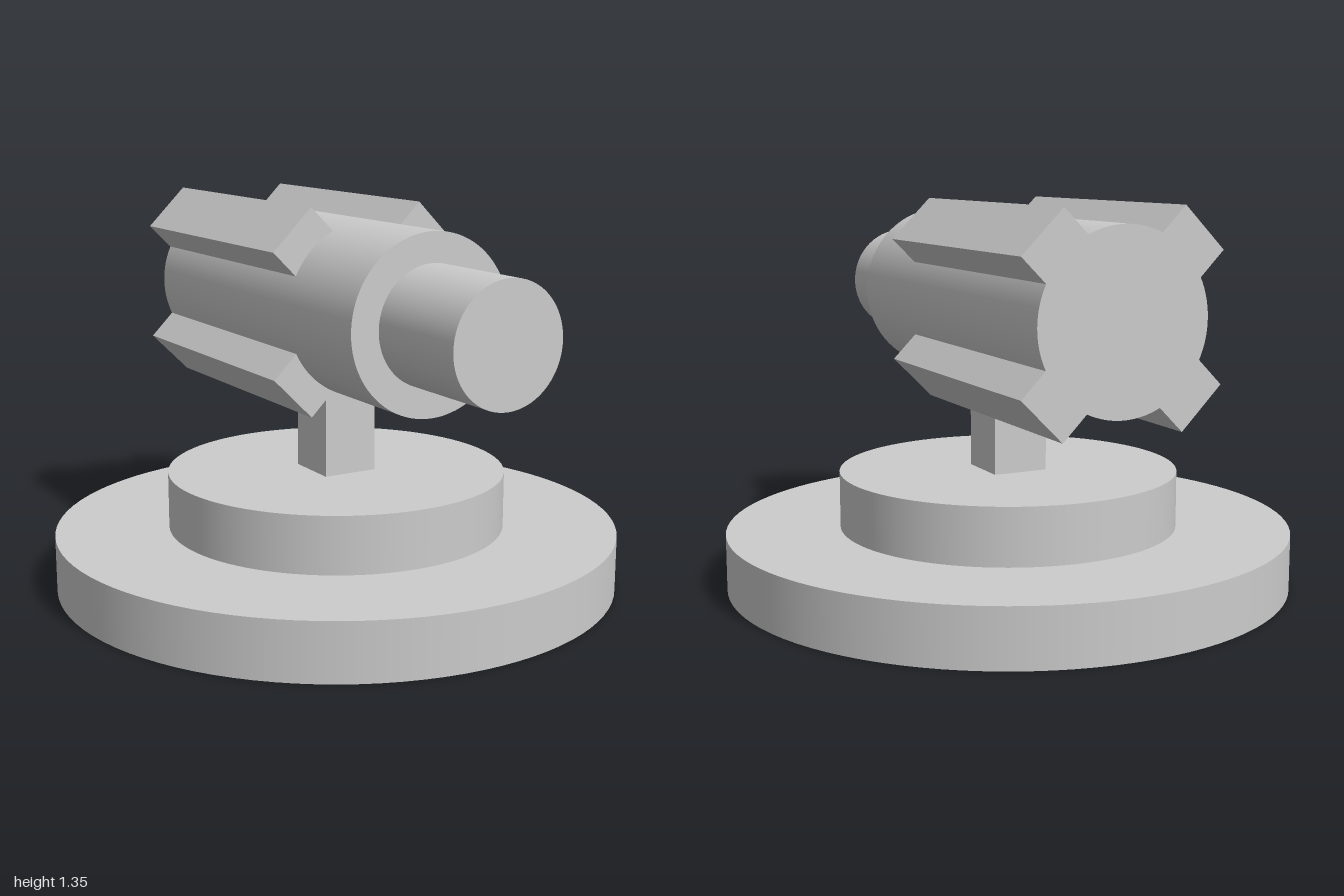
import * as THREE from 'three';

const material = new THREE.MeshStandardMaterial({ color: 0xcccccc });
const AXIS_Y = 1; // height of the barrel axis

function part(name, geometry, x, y, z) {
  const mesh = new THREE.Mesh(geometry, material);
  mesh.name = name;
  mesh.position.set(x, y, z);
  return mesh;
}

// Upright disc between two heights
function disc(name, radius, y0, y1) {
  return part(name, new THREE.CylinderGeometry(radius, radius, y1 - y0, 96), 0, (y0 + y1) / 2, 0);
}

// Cylinder lying along z between two depths
function tube(name, radius, z0, z1) {
  const geometry = new THREE.CylinderGeometry(radius, radius, z1 - z0, 96).rotateX(Math.PI / 2);
  return part(name, geometry, 0, 0, (z0 + z1) / 2);
}

export function createModel() {
  const model = new THREE.Group();
  model.name = 'turret';

  // Stepped round base and square post
  model.add(disc('basePlate', 1, 0, 0.2));
  model.add(disc('baseStep', 0.6, 0.2, 0.4));
  model.add(part('post', new THREE.BoxGeometry(0.2, 0.4, 0.2), 0, 0.6, 0));

  // Horizontal gun: thick body at the back, thinner muzzle in front
  const gun = new THREE.Group();
  gun.name = 'gun';
  gun.position.y = AXIS_Y;
  gun.add(tube('body', 0.3, -0.8, 0.6));
  gun.add(tube('muzzle', 0.2, 0.6, 1));

  // Four diagonal fins along the rear of the body
  const finGeometry = new THREE.BoxGeometry(0.2, 0.2, 1);
  for (let i = 0; i < 4; i++) {
    const angle = Math.PI / 4 + (i * Math.PI) / 2;
    const fin = part('fin', finGeometry, 0.3 * Math.cos(angle), 0.3 * Math.sin(angle), -0.3);
    fin.rotation.z = angle;
    gun.add(fin);
  }
  model.add(gun);

  return model;
}
